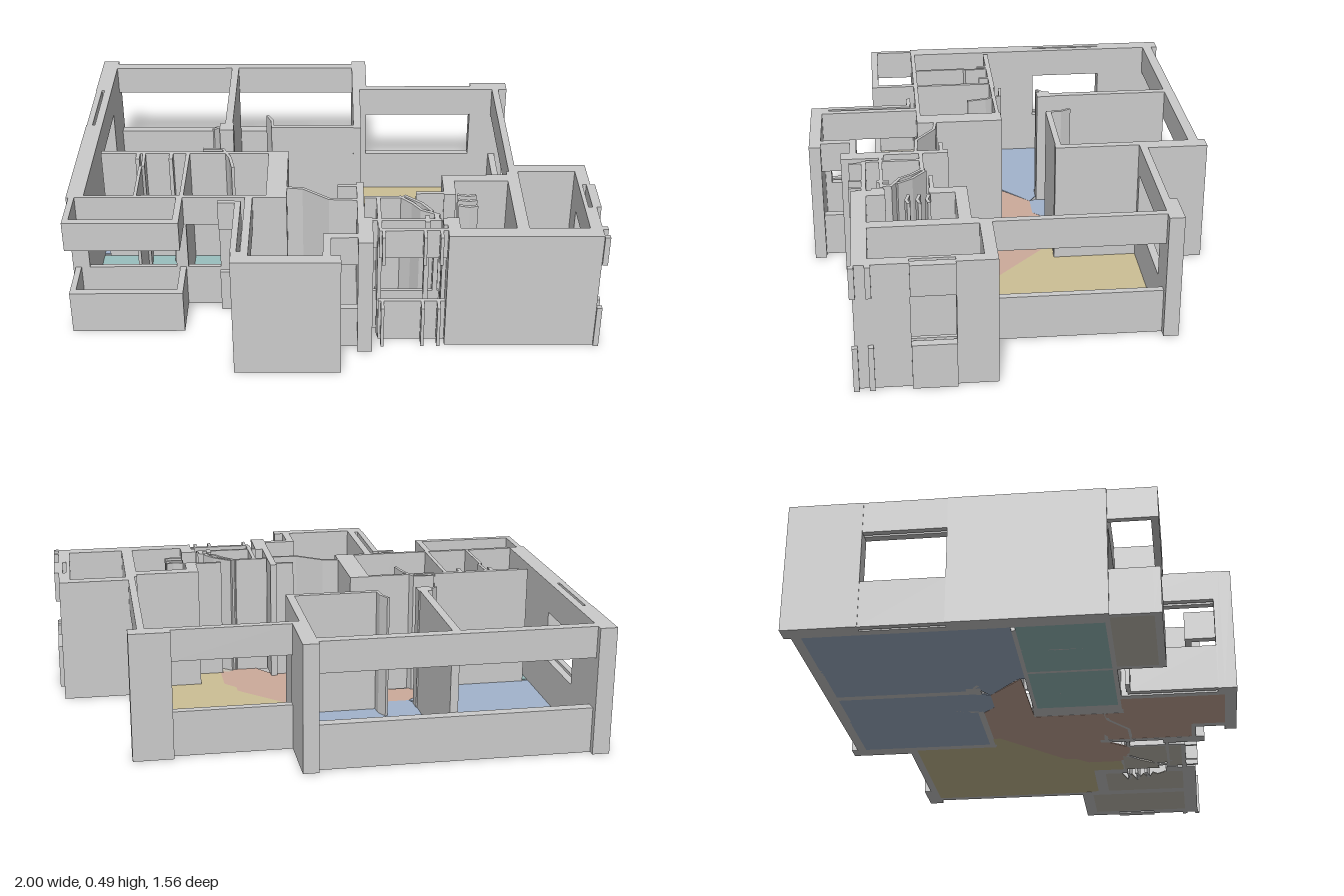
import * as THREE from 'three';

const H = 0.49, SILL = 0.175, HEAD = 0.37;
const wallMat = new THREE.MeshStandardMaterial({ color: 0xcccccc });

export function createModel() {
  const model = new THREE.Group();

  // Axis-aligned block between plan corners
  function block(name, x0, x1, z0, z1, y0 = 0, y1 = H) {
    const m = new THREE.Mesh(new THREE.BoxGeometry(x1 - x0, y1 - y0, z1 - z0), wallMat);
    m.position.set((x0 + x1) / 2, (y0 + y1) / 2, (z0 + z1) / 2);
    m.name = name;
    return m;
  }
  const wall = (name, ...r) => model.add(block(name, ...r));

  // Window: parapet below and lintel above an opening
  function windowWall(name, ...r) {
    const g = new THREE.Group();
    g.name = name;
    g.add(block('parapet', ...r, 0, SILL), block('lintel', ...r, HEAD, H));
    model.add(g);
  }

  // Plan polygon extruded upward from the ground
  function slab(name, pts, height, mat) {
    const shape = new THREE.Shape(pts.map(([x, z]) => new THREE.Vector2(x, -z)));
    const geo = new THREE.ExtrudeGeometry(shape, { depth: height, bevelEnabled: false });
    geo.rotateX(-Math.PI / 2);
    const m = new THREE.Mesh(geo, mat);
    m.name = name;
    model.add(m);
  }

  // Thin full-height leaf following a bent plan path
  function leaf(name, path, t = 0.012) {
    const side = (s) => path.map(([x, z], i) => {
      const a = path[Math.max(i - 1, 0)], b = path[Math.min(i + 1, path.length - 1)];
      const dx = b[0] - a[0], dz = b[1] - a[1], l = Math.hypot(dx, dz);
      return [x - s * dz / l * t / 2, z + s * dx / l * t / 2];
    });
    slab(name, [...side(1), ...side(-1).reverse()], H, wallMat);
  }

  // Floors
  const floor = (name, color, pts) =>
    slab(name, pts, 0.004, new THREE.MeshStandardMaterial({ color }));
  const rect = (x0, x1, z0, z1) => [[x0, z0], [x1, z0], [x1, z1], [x0, z1]];
  const BLUE = 0xa2b4cc, TEAL = 0x9abfbe, BEIGE = 0xc4c0b5;
  floor('firstBedroomFloor', BLUE, [[-0.935, -0.72], [-0.435, -0.72], [-0.435, -0.17],
    [-0.39, -0.14], [-0.52, -0.02], [-0.52, 0.005], [-0.935, 0.005]]);
  floor('secondBedroomFloor', BLUE, [[-0.405, -0.72], [0.087, -0.72], [0.087, -0.2],
    [-0.23, -0.19], [-0.28, -0.14], [-0.39, -0.14], [-0.405, -0.17]]);
  floor('livingRoomFloor', 0xccbf95, [[0.118, -0.515], [0.68, -0.515], [0.68, 0.12], [0.67, 0.185],
    [0.42, 0.185], [0.42, 0.31], [0.325, 0.31], [0.325, 0.17], [0.28, 0.12], [0.28, 0.08],
    [0.03, -0.16], [0.03, -0.19], [0.118, -0.19]]);
  floor('hallFloor', 0xccab9b, [[-0.23, -0.187], [0.03, -0.187], [0.03, -0.16], [0.28, 0.08],
    [0.28, 0.12], [0.325, 0.17], [0.325, 0.34], [0.18, 0.35], [0.12, 0.27], [0.09, 0.27],
    [0.09, 0.6], [-0.035, 0.6], [-0.035, 0.73], [-0.3, 0.73], [-0.3, 0.34], [-0.17, 0.34],
    [-0.17, 0.0], [-0.52, -0.01], [-0.39, -0.14], [-0.28, -0.14]]);
  floor('firstBathroomFloor', TEAL, rect(-0.935, -0.575, 0.02, 0.328));
  floor('secondBathroomFloor', TEAL, rect(-0.56, -0.25, 0.02, 0.328));
  floor('balconyFloor', BEIGE, rect(-0.97, -0.585, 0.345, 0.495));
  floor('rightRoomFloor', BEIGE, rect(0.715, 0.935, 0.158, 0.555));
  floor('kitchenFloor', BEIGE, [[0.465, 0.23], [0.67, 0.23], [0.67, 0.555], [0.465, 0.555],
    [0.465, 0.48], [0.49, 0.45], [0.47, 0.43], [0.53, 0.41], [0.48, 0.39], [0.55, 0.36],
    [0.48, 0.34], [0.54, 0.32], [0.465, 0.3]]);
  floor('utilityFloor', BEIGE, rect(0.18, 0.4, 0.505, 0.555));
  floor('closetFloor', BEIGE, [[0.18, 0.35], [0.26, 0.34], [0.36, 0.45], [0.36, 0.495], [0.18, 0.495]]);
  floor('lobbyFloor', BEIGE, [[0.27, 0.315], [0.42, 0.315], [0.42, 0.46], [0.37, 0.45]]);

  // Left outer wall with bedroom window
  wall('backLeftCorner', -1, -0.935, -0.78, -0.51);
  windowWall('leftWindowOuter', -0.998, -0.975, -0.51, -0.21);
  windowWall('leftWindowInner', -0.965, -0.935, -0.51, -0.21);
  wall('leftWall', -1, -0.935, -0.21, 0.345);

  // Back outer walls
  windowWall('backBedroomWindow', -0.935, 0.087, -0.755, -0.715);
  wall('backPillar', 0.087, 0.147, -0.78, -0.515);
  wall('bedroomSideWall', 0.087, 0.118, -0.515, -0.185);
  windowWall('backLivingWindow', 0.147, 0.59, -0.545, -0.515);
  wall('livingCornerPillar', 0.59, 0.742, -0.572, -0.515);
  windowWall('livingSideWindow', 0.68, 0.707, -0.515, 0.115);

  // Right room and kitchen shell
  wall('rightRoomBackWall', 0.68, 0.98, 0.112, 0.158);
  wall('roomDivider', 0.67, 0.715, 0.158, 0.555);
  wall('rightWallBack', 0.935, 0.98, 0.158, 0.257);
  windowWall('rightWindow', 0.935, 0.95, 0.257, 0.415);
  windowWall('rightWindowOuter', 0.965, 0.998, 0.257, 0.415);
  wall('rightWallFront', 0.935, 0.98, 0.415, 0.555);
  wall('kitchenFrontWall', 0.42, 0.98, 0.555, 0.61);
  wall('kitchenBackWall', 0.42, 0.67, 0.183, 0.23);
  wall('kitchenSideWallBack', 0.42, 0.465, 0.23, 0.325);
  wall('kitchenSideWallFront', 0.42, 0.465, 0.485, 0.555);
  for (const z of [0.545, 0.6]) windowWall('cornerTrim', 0.98, 1, z, z + 0.02);
  // Broken edge pieces by the kitchen opening
  for (const z of [0.325, 0.36, 0.4]) leaf('brokenPartition', [[0.47, z], [0.51, z + 0.01], [0.54, z + 0.002]]);

  // Utility area
  windowWall('utilityFrontWindow', 0.17, 0.42, 0.555, 0.572);
  windowWall('utilityMiddleSill', 0.147, 0.4, 0.492, 0.505);
  wall('utilitySideWall', 0.165, 0.18, 0.345, 0.555);
  wall('entryBackWall', 0.12, 0.27, 0.335, 0.35);
  wall('lobbyBackWall', 0.315, 0.42, 0.305, 0.32);
  leaf('lobbyDoor', [[0.25, 0.335], [0.3, 0.385], [0.33, 0.43], [0.395, 0.465]]);
  leaf('utilityDoor', [[0.27, 0.33], [0.335, 0.385], [0.37, 0.44]]);
  for (const [x, z] of [[0.34, 0.47], [0.375, 0.46], [0.405, 0.49]]) wall('utilityPost', x, x + 0.018, z, z + 0.045);
  for (const x of [0.18, 0.33, 0.39]) windowWall('utilityTrim', x, x + 0.012, 0.572, 0.62);

  // Front room
  wall('entryPillar', 0.092, 0.147, 0.485, 0.65);
  wall('entrySideWall', 0.092, 0.118, 0.235, 0.485);
  wall('entryReturn', 0.02, 0.092, 0.253, 0.268);
  windowWall('frontSmallWindow', -0.035, 0.092, 0.59, 0.617);
  windowWall('frontReturnWindow', -0.035, -0.005, 0.617, 0.73);
  wall('frontWall', -0.362, 0.03, 0.73, 0.775);
  wall('frontWallCorner', -0.362, -0.3, 0.705, 0.73);
  windowWall('frontSideWindowOuter', -0.365, -0.342, 0.37, 0.705);
  windowWall('frontSideWindowInner', -0.328, -0.3, 0.345, 0.705);
  windowWall('frontSideTrim', -0.43, -0.365, 0.365, 0.382);
  leaf('frontRoomDoor', [[-0.175, 0.272], [-0.11, 0.28], [-0.01, 0.355], [0.092, 0.36]]);

  // Bathrooms
  wall('bathroomBackWall', -0.91, -0.52, 0, 0.02);
  wall('bathroomBackWallRight', -0.52, -0.25, 0.005, 0.02);
  wall('bathroomEndWall', -0.25, -0.172, 0, 0.345);
  wall('bathroomDivider', -0.575, -0.56, 0.02, 0.328);
  windowWall('bathroomFrontWindow', -0.935, -0.6, 0.328, 0.345);
  wall('bathroomFrontPier', -0.6, -0.555, 0.328, 0.345);
  windowWall('bathroomSmallWindow', -0.555, -0.43, 0.328, 0.345);
  wall('bathroomFrontWall', -0.43, -0.25, 0.328, 0.345);
  leaf('showerScreen', [[-0.74, 0.02], [-0.735, 0.11], [-0.745, 0.12], [-0.742, 0.33]]);
  leaf('bathroomDoor', [[-0.51, -0.02], [-0.43, -0.015], [-0.4, 0.05], [-0.385, 0.125]]);
  for (const x of [-0.77, -0.64]) wall('bathroomPost', x, x + 0.015, 0.02, 0.06);

  // Balcony: open band between parapet and top beam
  windowWall('balconyFront', -0.99, -0.563, 0.495, 0.522);
  windowWall('balconyLeft', -0.99, -0.968, 0.345, 0.495);
  windowWall('balconyRight', -0.587, -0.563, 0.345, 0.495);

  // Bedroom partitions and door leaves
  wall('bedroomPartition', -0.435, -0.405, -0.715, -0.225);
  wall('partitionEnd', -0.455, -0.4, -0.225, -0.17);
  wall('bedroomFrontWall', -0.235, 0.087, -0.21, -0.187);
  leaf('bedroomDoor', [[-0.265, -0.29], [-0.245, -0.25], [-0.24, -0.19]]);
  leaf('bedroomDoorStop', [[-0.48, -0.175], [-0.455, -0.195]]);

  return model;
}
